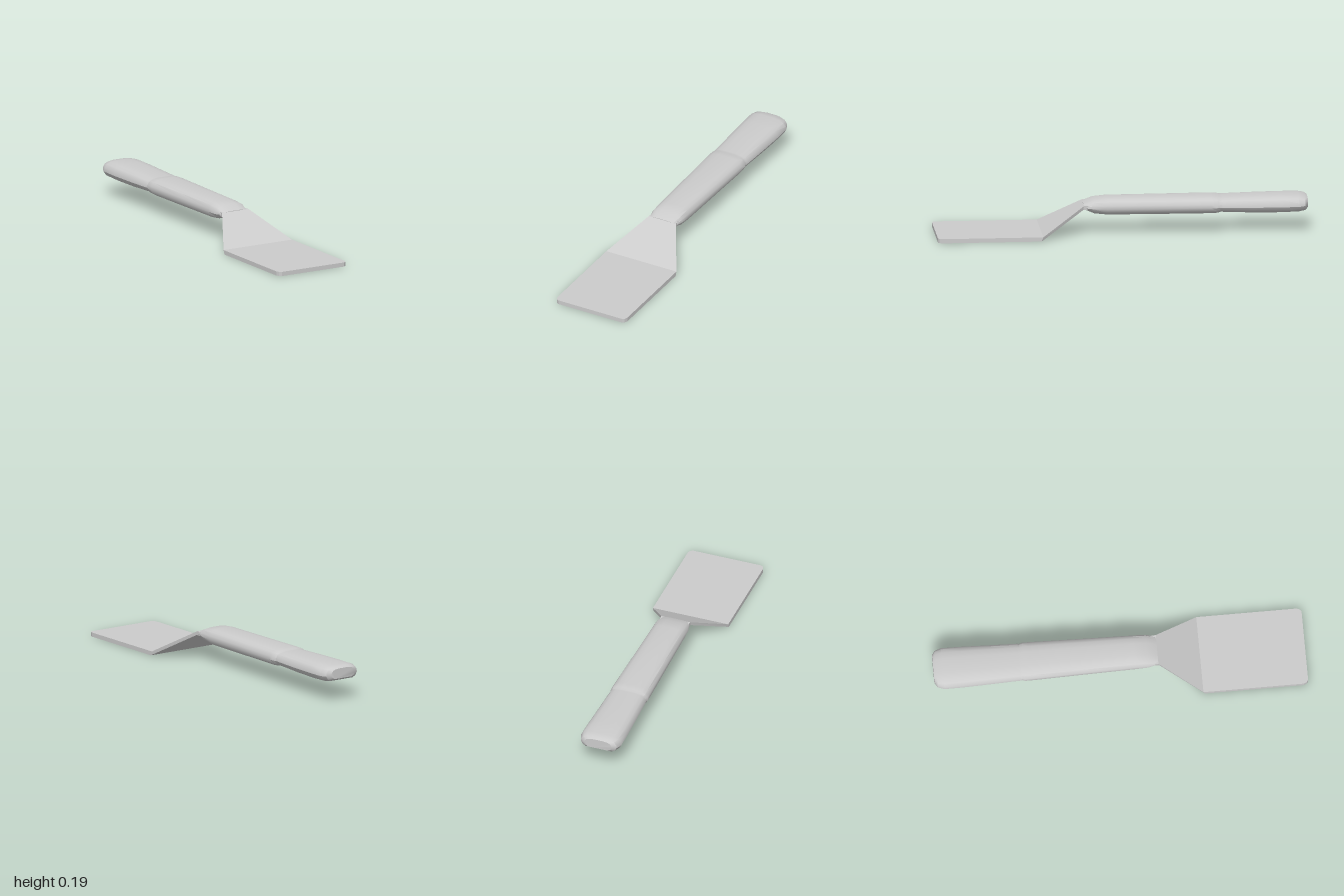
import * as THREE from 'three';
import { toCreasedNormals } from 'three/addons/utils/BufferGeometryUtils.js';

const material = new THREE.MeshStandardMaterial({ color: 0xcccccc });

// Skins closed rings of [x, y, z] points, ordered back to front, each counterclockwise seen from +z
function loft(name, rings, crease) {
  const n = rings[0].length, index = [];
  for (let i = 0; i < rings.length - 1; i++) {
    for (let j = 0; j < n; j++) {
      const a = i * n + j, b = i * n + (j + 1) % n;
      index.push(a, b, b + n, a, b + n, a + n);
    }
  }
  const last = (rings.length - 1) * n;
  for (let j = 1; j < n - 1; j++) {
    index.push(0, j + 1, j, last, last + j, last + j + 1);
  }
  const geometry = new THREE.BufferGeometry();
  geometry.setAttribute('position', new THREE.Float32BufferAttribute(rings.flat(2), 3));
  geometry.setIndex(index);
  const mesh = new THREE.Mesh(toCreasedNormals(geometry, crease), material);
  mesh.name = name;
  return mesh;
}

// Right half of the grip section, bottom to top: fraction of half width, fraction of height
const gripHalf = [[0.72, 0], [0.9, 0.14], [1, 0.38], [0.98, 0.6], [0.86, 0.83], [0.66, 0.94], [0.36, 1]];
const gripSection = [...gripHalf, ...gripHalf.map(([x, y]) => [-x, y]).reverse()];
const gripRing = ([z, w, y0, y1]) => gripSection.map(([x, y]) => [x * w, y0 + y * (y1 - y0), z]);

// Rectangular ring of the sheet metal; top and bottom edges may sit at different z
const sheetRing = ([zBottom, zTop, w, y0, y1]) =>
  [[-w, y0, zBottom], [w, y0, zBottom], [w, y1, zTop], [-w, y1, zTop]];

export function createModel() {
  const model = new THREE.Group();
  model.name = 'spatula';

  // Handle: z, half width, bottom, top
  const handle = [
    [-1, 0.078, 0.125, 0.18],
    [-0.985, 0.102, 0.114, 0.188],
    [-0.95, 0.115, 0.109, 0.192],
    [-0.85, 0.114, 0.106, 0.193],
    [-0.7, 0.109, 0.107, 0.191],
    [-0.54, 0.104, 0.113, 0.187],
    [-0.53, 0.102, 0.113, 0.187],
    [-0.515, 0.107, 0.109, 0.191],
    [-0.48, 0.107, 0.107, 0.193],
    [-0.2, 0.1, 0.107, 0.193],
    [0.08, 0.094, 0.108, 0.193],
    [0.15, 0.092, 0.116, 0.186],
    [0.205, 0.08, 0.138, 0.163],
  ];
  model.add(loft('handle', handle.map(gripRing), 0.6));

  // Neck: widening sheet sloping from the handle down to the blade
  const neck = [
    [0.17, 0.17, 0.08, 0.138, 0.16],
    [0.21, 0.205, 0.083, 0.138, 0.16],
    [0.444, 0.435, 0.215, 0, 0.023],
  ];
  model.add(loft('neck', neck.map(sheetRing), 0.3));

  // Blade: flat plate with clipped front corners
  const blade = [
    [0.444, 0.435, 0.215, 0, 0.023],
    [0.975, 0.975, 0.215, 0, 0.023],
    [0.992, 0.992, 0.208, 0, 0.023],
    [1, 1, 0.195, 0, 0.023],
  ];
  model.add(loft('blade', blade.map(sheetRing), 0.3));

  return model;
}
